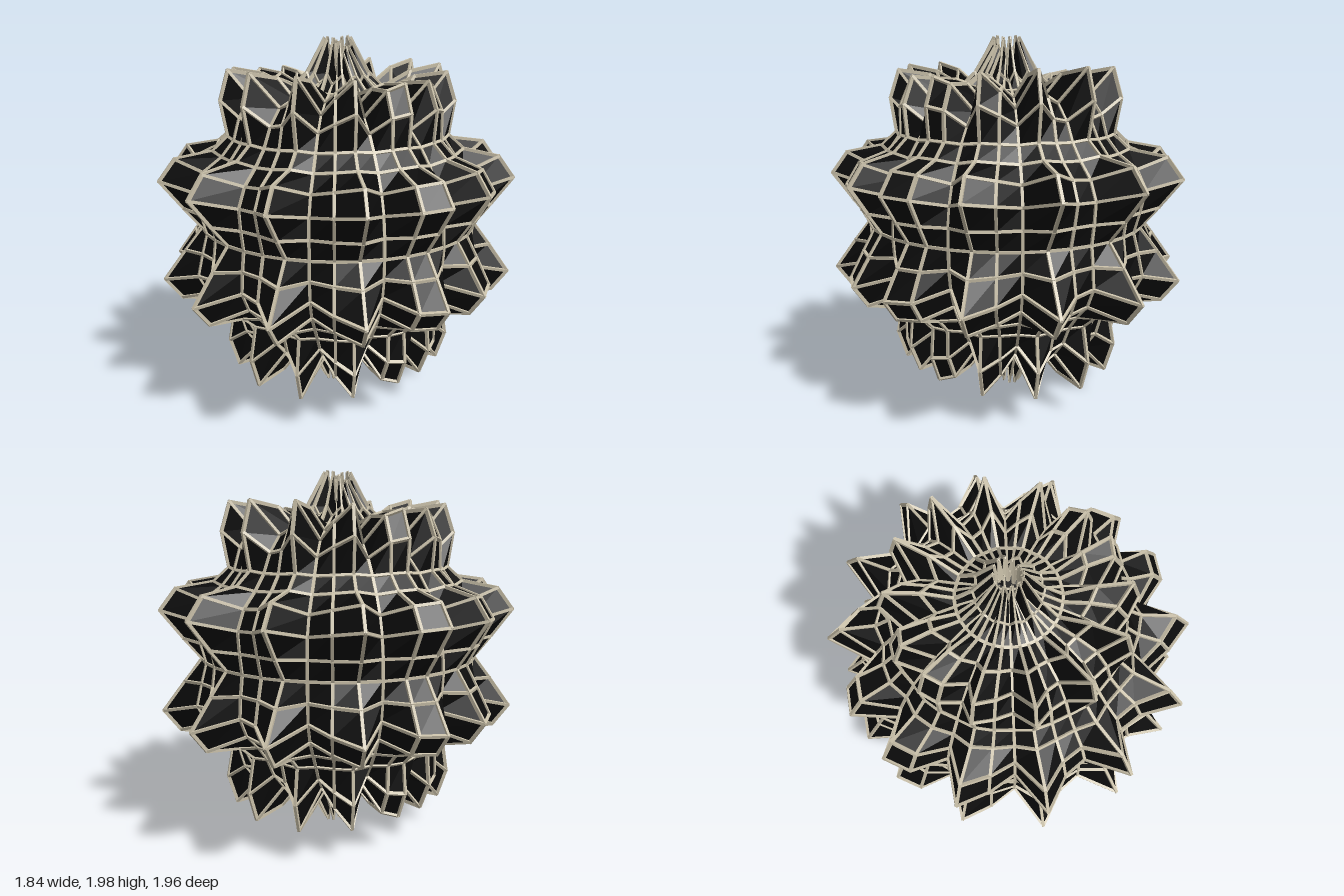
import * as THREE from 'three';
import { mergeGeometries } from 'three/addons/utils/BufferGeometryUtils.js';

const COLS = 40, HALF_ROWS = 11, STEP = THREE.MathUtils.degToRad(7.8);

// Point on a sphere whose radius swells in a lattice of 14 x 5 waves
function surfacePoint(row, col) {
  const lat = row * STEP;
  const lon = (col / COLS) * Math.PI * 2;
  const r = 0.753 + 0.268 * Math.sin(5 * lat) ** 2 * Math.cos(7 * lon) ** 2;
  return new THREE.Vector3(
    r * Math.cos(lat) * Math.sin(lon),
    1 + r * Math.sin(lat),
    r * Math.cos(lat) * Math.cos(lon)
  );
}

// Bars get narrower where the columns crowd together near the poles
function barWidth(row) {
  const spacing = 0.8 * Math.cos(row * STEP) * Math.PI * 2 / COLS;
  return Math.min(0.015, spacing * 0.4);
}

// Tapered bar along one lattice edge, standing on the surface
function bar(row0, col0, row1, col1) {
  const ends = [surfacePoint(row0, col0), surfacePoint(row1, col1)];
  const widths = [barWidth(row0), barWidth(row1)];
  const dir = ends[1].clone().sub(ends[0]).normalize();
  const out = ends[0].clone().add(ends[1]).multiplyScalar(0.5);
  out.y -= 1;
  const side = out.cross(dir).normalize();
  const up = dir.clone().cross(side).normalize();
  const geo = new THREE.BoxGeometry(1, 1, 1);
  const pos = geo.attributes.position;
  for (let i = 0; i < pos.count; i++) {
    const e = pos.getZ(i) > 0 ? 1 : 0;
    const p = ends[e].clone()
      .addScaledVector(side, pos.getX(i) * widths[e])
      .addScaledVector(up, pos.getY(i) * 0.018)
      .addScaledVector(dir, pos.getZ(i) * 0.008);
    pos.setXYZ(i, p.x, p.y, p.z);
  }
  geo.computeVertexNormals();
  return geo;
}

export function createModel() {
  const model = new THREE.Group();
  model.name = 'spikedLatticeBall';
  const black = new THREE.MeshStandardMaterial({ color: 0x0b0b0b, side: THREE.DoubleSide, flatShading: true });
  black.name = 'black';
  const cream = new THREE.MeshStandardMaterial({ color: 0xc8bfa8 });
  cream.name = 'cream';

  // Folded skin, open at both poles
  const points = [];
  const bars = [];
  for (let row = -HALF_ROWS; row <= HALF_ROWS; row++) {
    for (let col = 0; col < COLS; col++) {
      bars.push(bar(row, col, row, col + 1));
      if (row === HALF_ROWS) continue;
      bars.push(bar(row, col, row + 1, col));
      const a = surfacePoint(row, col), b = surfacePoint(row, col + 1);
      const c = surfacePoint(row + 1, col + 1), d = surfacePoint(row + 1, col);
      points.push(a, b, c, a, c, d);
    }
  }
  const skinGeo = new THREE.BufferGeometry().setFromPoints(points);
  skinGeo.computeVertexNormals();
  const skin = new THREE.Mesh(skinGeo, black);
  skin.name = 'skin';

  // Raised lattice of bars
  const lattice = new THREE.Mesh(mergeGeometries(bars), cream);
  lattice.name = 'lattice';

  model.add(skin, lattice);
  return model;
}
